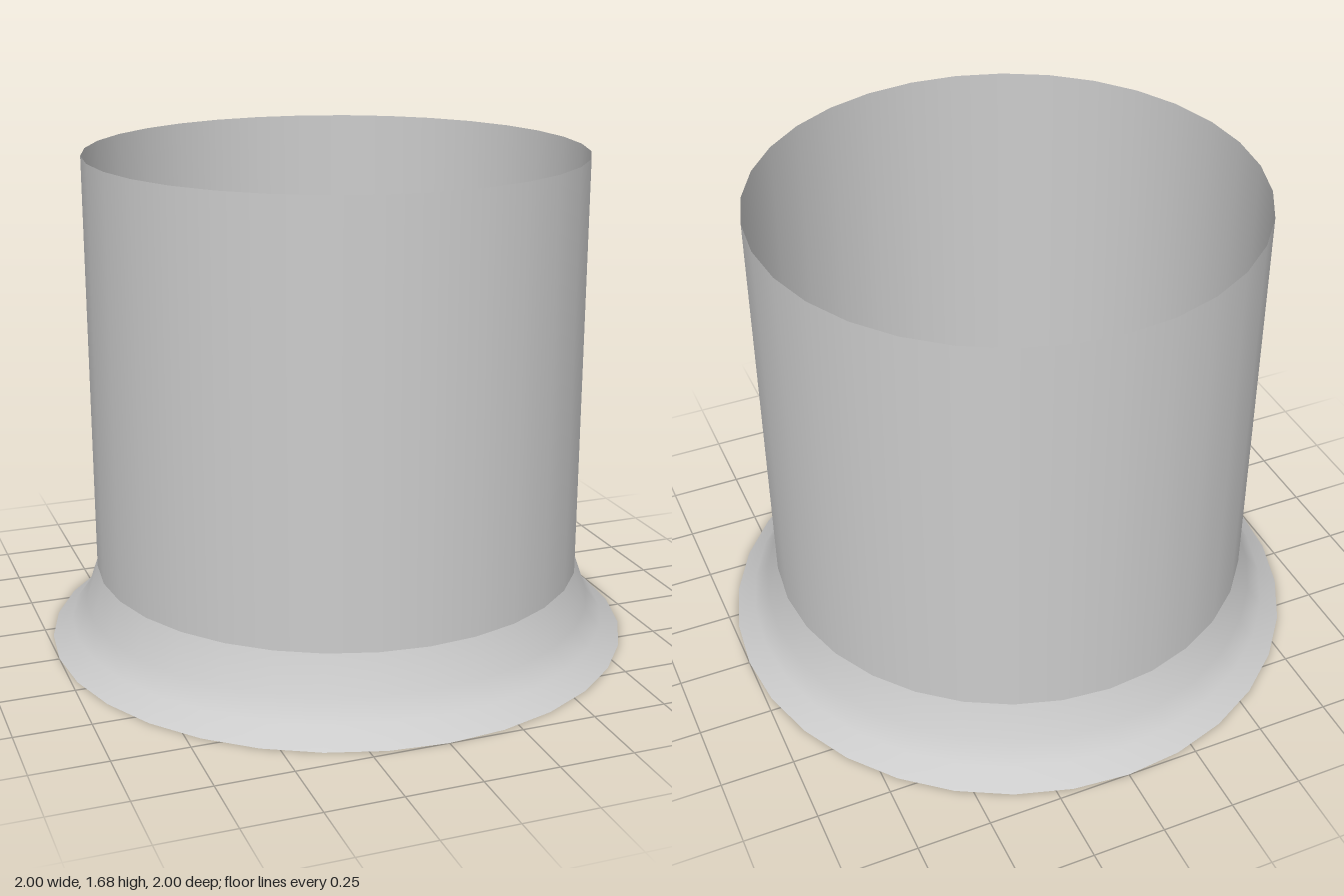
import * as THREE from 'three';

const SEGMENTS = 32;

// Revolve an open profile of [radius, height] points, listed from bottom to top
function revolve(name, profile, material) {
  const points = profile.map(([r, y]) => new THREE.Vector2(r, y));
  const mesh = new THREE.Mesh(new THREE.LatheGeometry(points, SEGMENTS), material);
  mesh.name = name;
  return mesh;
}

export function createModel() {
  const group = new THREE.Group();
  group.name = 'flaredSleeve';
  const material = new THREE.MeshStandardMaterial({ color: 0xcccccc, side: THREE.DoubleSide });

  // Thin tube, open at both ends
  group.add(revolve('tube', [[0.838, 0], [0.838, 1.676]], material));

  // Concave skirt around the foot of the tube, open underneath
  group.add(revolve('flaredSkirt', [[1, 0], [0.933, 0.058], [0.882, 0.125], [0.838, 0.252]], material));

  return group;
}
